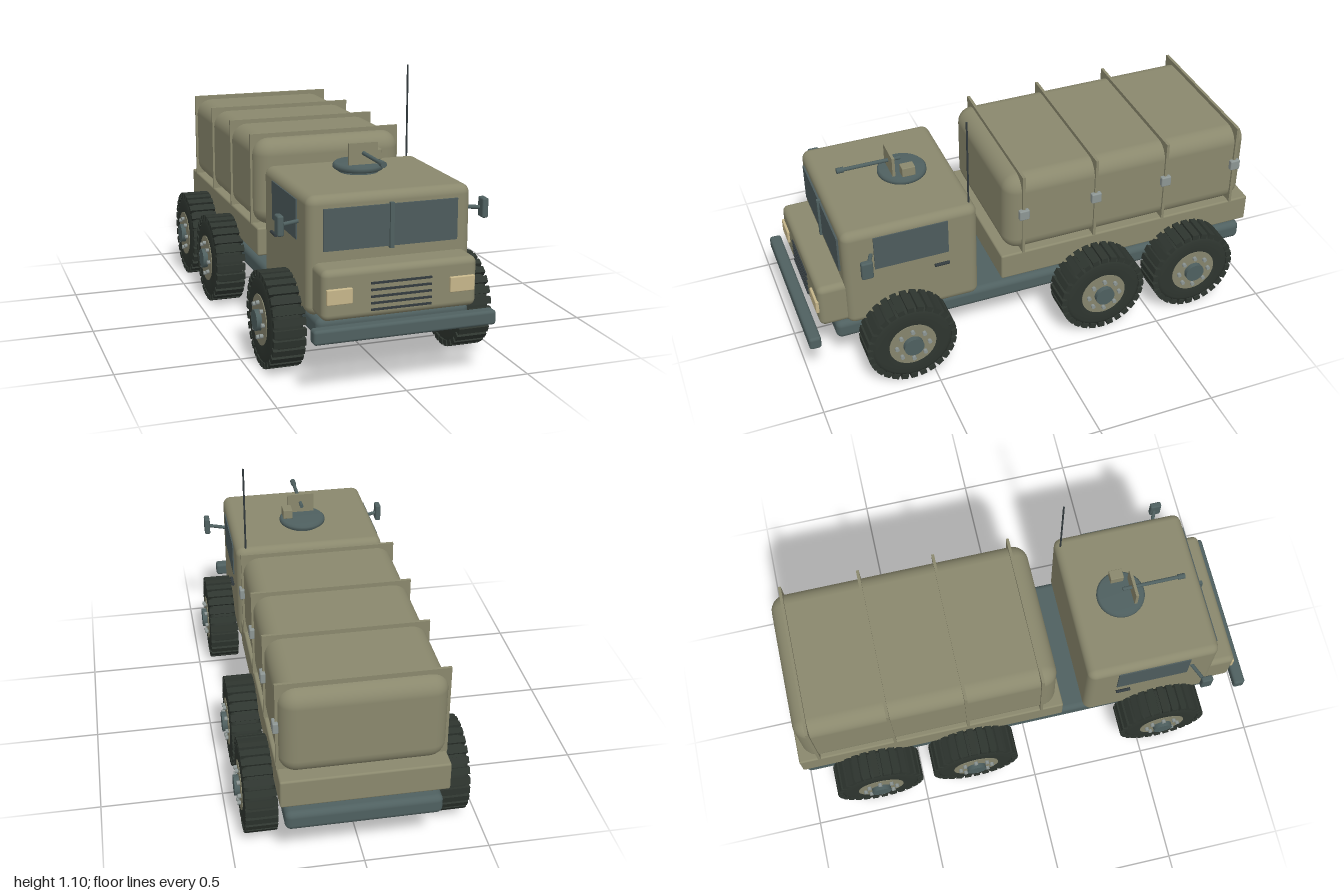
import * as THREE from 'three';
import { RoundedBoxGeometry } from 'three/addons/geometries/RoundedBoxGeometry.js';
import { mergeGeometries } from 'three/addons/utils/BufferGeometryUtils.js';

const material = (name, color) => Object.assign(new THREE.MeshStandardMaterial({ color }), { name });

export function createModel() {
  const truck = new THREE.Group();
  truck.name = 'tankerTruck';
  const olive = material('olivePaint', 0x8a886d);
  const steel = material('blueGreySteel', 0x4f6060);
  const glass = material('windowGlass', 0x4d5b5c);
  const rubber = material('tyreRubber', 0x2e352f);
  const dark = material('darkMetal', 0x333b3e);
  const rimPaint = material('rimPaint', 0x85846d);
  const lamp = material('headlightLens', 0xc6b68a);
  const clasp = material('claspMetal', 0x8d9694);

  const add = (name, geometry, mat, x = 0, y = 0, z = 0, parent = truck) => {
    const mesh = new THREE.Mesh(geometry, mat);
    mesh.name = name;
    mesh.position.set(x, y, z);
    parent.add(mesh);
    return mesh;
  };
  // Box given by its low and high limits on each axis, optionally rounded
  const block = (name, mat, [x0, x1], [y0, y1], [z0, z1], r = 0, parent = truck) => {
    const size = [x1 - x0, y1 - y0, z1 - z0];
    const geometry = r ? new RoundedBoxGeometry(...size, 4, r) : new THREE.BoxGeometry(...size);
    return add(name, geometry, mat, (x0 + x1) / 2, (y0 + y1) / 2, (z0 + z1) / 2, parent);
  };
  // Cylinder running between two points
  const rod = (name, mat, a, b, r, parent = truck, sides = 12) => {
    const from = new THREE.Vector3(...a), to = new THREE.Vector3(...b);
    const dir = to.clone().sub(from);
    const mid = from.clone().add(to).multiplyScalar(0.5);
    const mesh = add(name, new THREE.CylinderGeometry(r, r, dir.length(), sides), mat, mid.x, mid.y, mid.z, parent);
    mesh.quaternion.setFromUnitVectors(new THREE.Vector3(0, 1, 0), dir.normalize());
    return mesh;
  };

  // Chassis, bumper and load bed
  block('chassis', steel, [-0.307, 0.307], [0.185, 0.268], [-0.995, 0.873], 0.025);
  block('bumper', steel, [-0.36, 0.36], [0.215, 0.272], [0.95, 1.0], 0.012);
  block('loadBed', olive, [-0.327, 0.327], [0.308, 0.428], [-1.0, 0.16], 0.008);

  // Tank with strap plates, clasps along its left side
  block('tank', olive, [-0.32, 0.32], [0.422, 0.79], [-0.97, 0.135], 0.068);
  for (const z of [0.062, -0.26, -0.582, -0.912]) {
    block('tankStrap', olive, [-0.329, 0.329], [0.425, 0.808], [z - 0.006, z + 0.006]);
    block('strapClasp', clasp, [0.318, 0.34], [0.602, 0.648], [z - 0.022, z + 0.022], 0.005);
  }

  // Cab and hood
  block('cab', olive, [-0.327, 0.327], [0.262, 0.72], [0.26, 0.825], 0.035);
  block('hood', olive, [-0.307, 0.307], [0.275, 0.47], [0.74, 0.936], 0.026);
  block('windshield', glass, [-0.268, 0.268], [0.512, 0.673], [0.824, 0.833]);
  block('windshieldPost', steel, [-0.008, 0.008], [0.505, 0.68], [0.825, 0.842]);
  for (const y of [0.41, 0.384, 0.358, 0.333, 0.308])
    block('grilleSlat', dark, [-0.12, 0.12], [y - 0.004, y + 0.004], [0.932, 0.942]);

  // Paired cab details
  for (const s of [-1, 1]) {
    const span = (a, b) => (s > 0 ? [a, b] : [-b, -a]);
    block('sideWindow', glass, span(0.323, 0.332), [0.53, 0.685], [0.39, 0.70]);
    block('headlight', lamp, span(0.193, 0.293), [0.342, 0.402], [0.925, 0.946], 0.004);
    rod('doorHandle', dark, [s * 0.335, 0.478, 0.39], [s * 0.335, 0.478, 0.452], 0.007);
    const mirror = new THREE.Group();
    mirror.name = 'sideMirror';
    truck.add(mirror);
    rod('mirrorArm', steel, [s * 0.32, 0.605, 0.71], [s * 0.41, 0.605, 0.748], 0.008, mirror);
    block('mirrorHead', steel, span(0.4, 0.425), [0.567, 0.646], [0.728, 0.776], 0.007, mirror);
  }
  rod('antenna', dark, [0.283, 0.71, 0.285], [0.283, 1.1, 0.285], 0.004, truck, 8);

  // Roof hatch with shielded gun
  const hatchProfile = [[0, 0], [0.094, 0], [0.102, 0.007], [0.102, 0.019], [0.094, 0.027], [0, 0.027]];
  add('roofHatch', new THREE.LatheGeometry(hatchProfile.map(p => new THREE.Vector2(...p)), 36), steel, 0, 0.73, 0.475);
  add('hatchBase', new THREE.CylinderGeometry(0.08, 0.08, 0.02, 32), steel, 0, 0.722, 0.475);
  block('gunShield', olive, [-0.06, 0.06], [0.757, 0.843], [0.519, 0.531]);
  block('ammunitionBox', olive, [0.048, 0.09], [0.764, 0.806], [0.442, 0.498], 0.003);
  rod('gunBarrel', steel, [0, 0.802, 0.48], [0, 0.802, 0.735], 0.008);
  rod('gunMuzzle', steel, [0, 0.802, 0.718], [0, 0.802, 0.748], 0.012);

  // Wheel geometry, turned about x with the outer face toward +x
  const tyreProfile = [[0, -0.06], [0.155, -0.06], [0.174, -0.052], [0.181, -0.04],
    [0.181, 0.04], [0.174, 0.055], [0.155, 0.064], [0.098, 0.064], [0.09, 0.055], [0, 0.055]];
  const tyre = new THREE.LatheGeometry(tyreProfile.map(p => new THREE.Vector2(...p)), 48).rotateZ(-Math.PI / 2);
  const disc = (r, length, x, sides = 32) =>
    new THREE.CylinderGeometry(r, r, length, sides).rotateZ(-Math.PI / 2).translate(x, 0, 0);
  const lugs = [], bolts = [];
  for (let i = 0; i < 28; i++)
    lugs.push(new THREE.BoxGeometry(0.127, 0.024, 0.028).translate(0, 0.179, 0).rotateX(i / 28 * Math.PI * 2));
  for (let i = 0; i < 8; i++)
    bolts.push(disc(0.009, 0.016, 0.072, 8).translate(0, 0.07, 0).rotateX(i / 8 * Math.PI * 2));
  const treads = mergeGeometries(lugs), wheelBolts = mergeGeometries(bolts);
  const rim = disc(0.1, 0.02, 0.057), hub = disc(0.042, 0.04, 0.068, 24);

  // Three axles, two wheels each
  for (const z of [0.595, -0.26, -0.69]) {
    for (const s of [-1, 1]) {
      const wheel = new THREE.Group();
      wheel.name = 'wheel';
      wheel.position.set(s * 0.381, 0.191, z);
      if (s < 0) wheel.rotation.y = Math.PI;
      truck.add(wheel);
      add('tyre', tyre, rubber, 0, 0, 0, wheel);
      add('tyreTread', treads, rubber, 0, 0, 0, wheel);
      add('rim', rim, rimPaint, 0, 0, 0, wheel);
      add('hubCap', hub, steel, 0, 0, 0, wheel);
      add('wheelBolts', wheelBolts, clasp, 0, 0, 0, wheel);
    }
    rod('axle', steel, [-0.33, 0.191, z], [0.33, 0.191, z], 0.025);
  }
  return truck;
}
